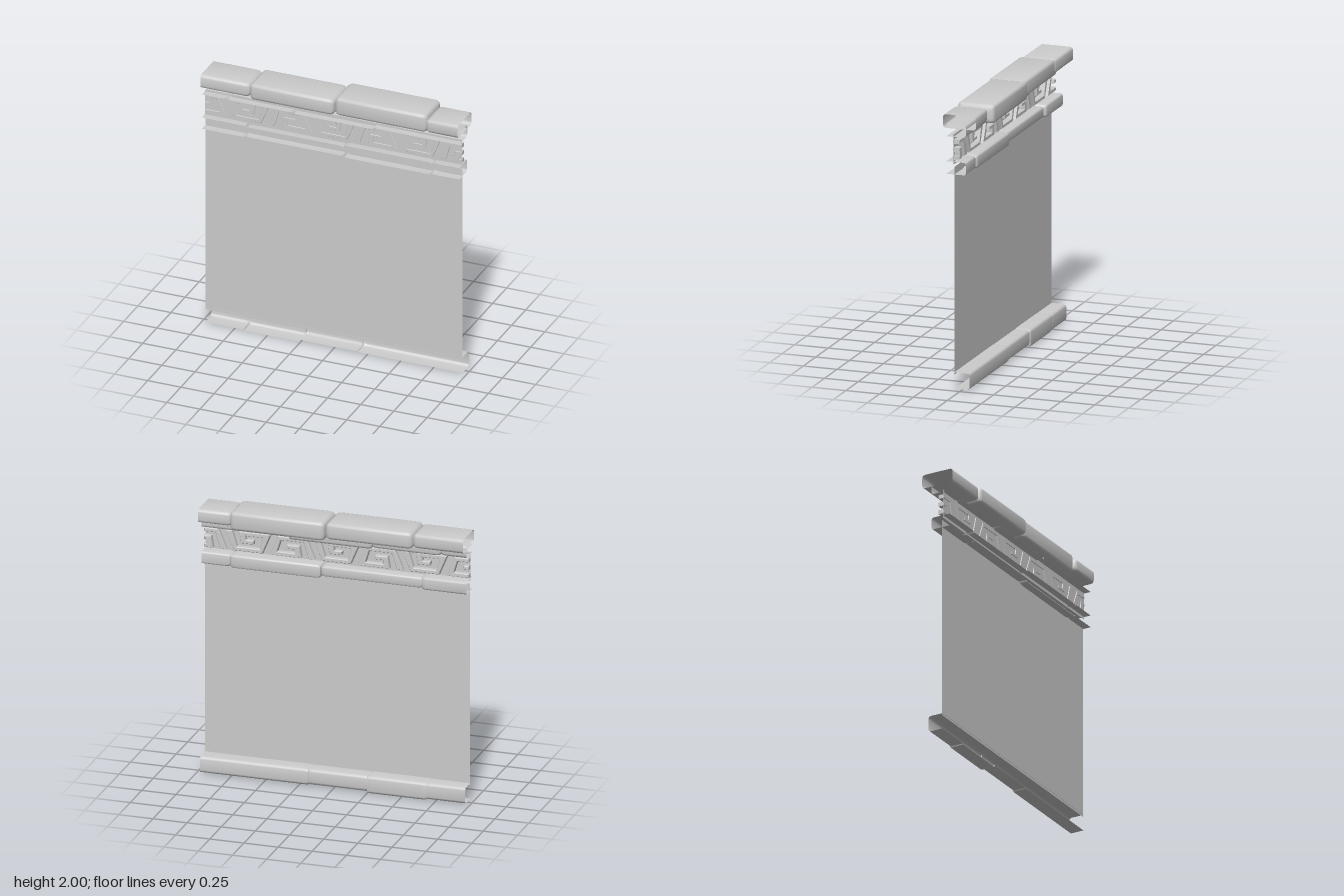
import * as THREE from 'three';
import { toCreasedNormals } from 'three/addons/utils/BufferGeometryUtils.js';

const END = 0.97;
const grey = new THREE.MeshStandardMaterial({ color: 0xcccccc, side: THREE.DoubleSide });

function addMesh(parent, name, geometry) {
  const mesh = new THREE.Mesh(geometry, grey);
  mesh.name = name;
  parent.add(mesh);
  return mesh;
}

// Rounded corner: quarter arc around (z, y) starting at angle a, going on by 90 degrees
function corner(z, y, r, a) {
  const pts = [];
  for (let i = 0; i <= 3; i++) {
    const t = a + (i / 3) * Math.PI / 2;
    pts.push([z + r * Math.cos(t), y + r * Math.sin(t)]);
  }
  return pts;
}

// Cross-section: closed rounded box, or a channel open towards +z
function section({ y0, y1, zb, zf }, r, closed) {
  const q = Math.PI / 2;
  const back = [...corner(zb + r, y1 - r, r, q), ...corner(zb + r, y0 + r, r, 2 * q)];
  if (!closed) return [[zf, y1], ...back, [zf, y0]];
  const ring = [...back, ...corner(zf - r, y0 + r, r, 3 * q), ...corner(zf - r, y1 - r, r, 0)];
  return [...ring, ring[0]];
}

// A row of stones lofted along x, each pinched in a little at its joints
// stone: [x0, x1, y0, y1, zBack, zFront]
function stoneRow(stones, r, closed, pinch) {
  const rings = [];
  const station = (x, [, , y0, y1, zb, zf], d) => {
    const s = { y0: y0 + d, y1: y1 - d, zb: zb + d, zf: closed ? zf - d : zf };
    rings.push(section(s, r, closed).map(([z, y]) => [x, y, z]));
  };
  for (const s of stones) {
    const [x0, x1] = s;
    if (x0 <= -END) station(x0, s, 0);
    else { station(x0 + 0.002, s, pinch); station(x0 + 0.012, s, pinch * 0.3); station(x0 + 0.03, s, 0); }
    if (x1 >= END) station(x1, s, 0);
    else { station(x1 - 0.03, s, 0); station(x1 - 0.012, s, pinch * 0.3); station(x1 - 0.002, s, pinch); }
  }
  const n = rings[0].length;
  const index = [];
  for (let i = 0; i < rings.length - 1; i++) {
    for (let j = 0; j < n - 1; j++) {
      const a = i * n + j, b = a + n;
      index.push(a, b, b + 1, a, b + 1, a + 1);
    }
  }
  const geo = new THREE.BufferGeometry();
  geo.setAttribute('position', new THREE.Float32BufferAttribute(rings.flat(2), 3));
  geo.setIndex(index);
  return toCreasedNormals(geo, 0.75);
}

// Key ornament outlines in trapezoid coordinates: u across -1..1, v up 0..1
const KEY = [[[-1, 0], [-1, 1], [1, 1], [1, 0], [-.4, 0], [-.4, .6], [.3, .6], [.3, .4],
  [-.12, .4], [-.12, .2], [.72, .2], [.72, .8], [-.72, .8], [-.72, 0]]];
const KEY_RIGHT_HALF = [
  [[0, 1], [1, 1], [1, 0], [0, 0], [0, .2], [.72, .2], [.72, .8], [0, .8]],
  [[0, .4], [.3, .4], [.3, .6], [0, .6]]];
const KEY_LEFT_HALF = [
  [[-1, 0], [-1, 1], [0, 1], [0, .8], [-.72, .8], [-.72, 0]],
  [[-.4, 0], [-.4, .6], [0, .6], [0, .4], [-.12, .4], [-.12, .2], [0, .2], [0, 0]]];

function keyGeometry(outline, flip) {
  const s = flip ? -1 : 1;
  const pts = outline.map(([u, v]) =>
    new THREE.Vector2(s * u * THREE.MathUtils.lerp(0.165, 0.105, v), s * (v - 0.5) * 0.145));
  return new THREE.ExtrudeGeometry(new THREE.Shape(pts), {
    depth: 0.03, bevelEnabled: true, bevelThickness: 0.008,
    bevelSize: 0.005, bevelOffset: -0.005, bevelSegments: 1,
  });
}

export function createModel() {
  const model = new THREE.Group();
  model.name = 'wallSection';

  // Flat wall sheet and the sheet behind the frieze
  const panel = (name, y0, y1, z) =>
    addMesh(model, name, new THREE.PlaneGeometry(2 * END, y1 - y0).rotateY(Math.PI))
      .position.set(0, (y0 + y1) / 2, z);
  panel('wallPanel', 0.11, 1.605, 0.05);
  panel('friezePanel', 1.62, 1.835, 0.058);

  // Coping of big rounded stones
  addMesh(model, 'coping', stoneRow([
    [-END, -0.6, 1.88, 1.982, -0.11, 0.135],
    [-0.6, 0.035, 1.872, 1.99, -0.12, 0.145],
    [0.035, 0.725, 1.867, 2, -0.15, 0.12],
    [0.725, END, 1.88, 1.978, -0.11, 0.135],
  ], 0.022, true, 0.015));

  // Mouldings above and below the frieze
  addMesh(model, 'upperMoulding', stoneRow([
    [-END, -0.78, 1.82, 1.91, -0.035, 0.11],
    [-0.78, -0.28, 1.816, 1.915, -0.04, 0.11],
    [-0.28, 0.33, 1.81, 1.93, -0.052, 0.11],
    [0.33, END, 1.82, 1.91, -0.035, 0.11],
  ], 0.02, false, 0.008));
  addMesh(model, 'lowerMoulding', stoneRow([
    [-END, -0.64, 1.55, 1.64, -0.034, 0.11],
    [-0.64, 0.1, 1.555, 1.632, -0.02, 0.11],
    [0.1, 0.76, 1.545, 1.64, -0.04, 0.11],
    [0.76, END, 1.55, 1.64, -0.034, 0.11],
  ], 0.014, false, 0.008));

  // Skirting along the foot
  addMesh(model, 'skirting', stoneRow([
    [-END, -0.68, 0.008, 0.125, -0.06, 0.052],
    [-0.68, -0.25, 0, 0.127, -0.062, 0.052],
    [-0.25, 0.18, 0.014, 0.125, -0.056, 0.052],
    [0.18, END, 0.008, 0.127, -0.062, 0.052],
  ], 0.02, false, 0.002));

  // Frieze of key ornaments, every other one turned upside down, cut in half at the ends
  const frieze = new THREE.Group();
  frieze.name = 'frieze';
  for (let k = 0; k <= 6; k++) {
    const outlines = k === 0 ? KEY_RIGHT_HALF : k === 6 ? KEY_LEFT_HALF : KEY;
    for (const outline of outlines) {
      addMesh(frieze, 'keyOrnament', keyGeometry(outline, k % 2 === 1))
        .position.set(-END + (k * END) / 3, 1.728, 0.024);
    }
  }
  model.add(frieze);
  return model;
}
